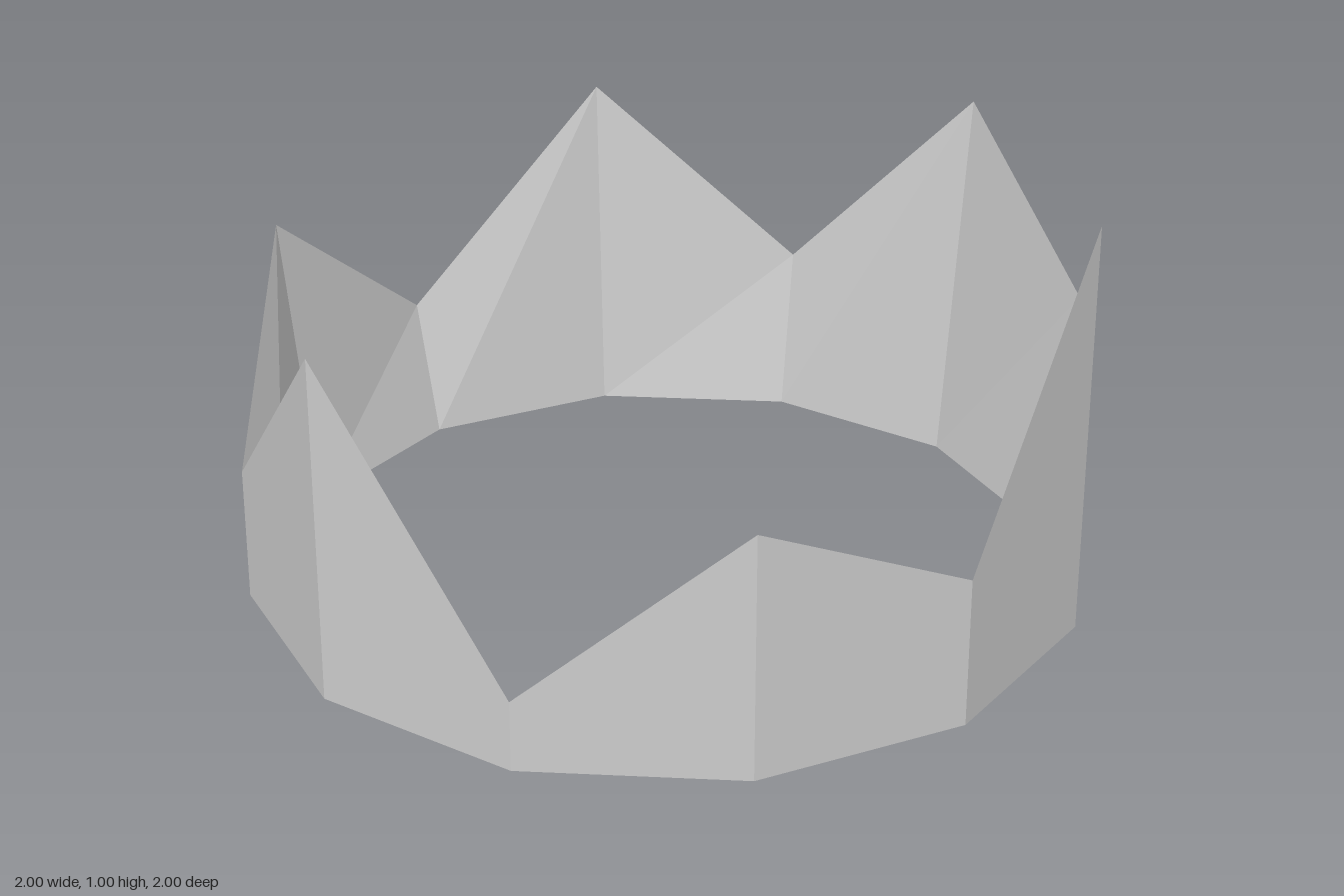
import * as THREE from 'three';

// Height of the rim at each of the twelve corners, from the front towards +x
const HEIGHTS = [0.59, 0.36, 1.0, 0.605, 0.93, 0.395, 0.85, 0.33, 0.73, 0.325, 0.83, 0.17];
const INNER_RADIUS = 0.92;

function corner(i, radius, y) {
  const a = (i / HEIGHTS.length) * Math.PI * 2;
  return [Math.sin(a) * radius, y, Math.cos(a) * radius];
}

// Band with a flat base, its wall tapering to a sharp zigzag rim
function crownBand() {
  const n = HEIGHTS.length;
  const positions = [];
  const quad = (a, b, c, d) => positions.push(...a, ...b, ...c, ...a, ...c, ...d);

  for (let i = 0; i < n; i++) {
    const j = (i + 1) % n;
    const outerA = corner(i, 1, 0), outerB = corner(j, 1, 0);
    const innerA = corner(i, INNER_RADIUS, 0), innerB = corner(j, INNER_RADIUS, 0);
    const rimA = corner(i, 1, HEIGHTS[i]), rimB = corner(j, 1, HEIGHTS[j]);
    quad(outerA, outerB, rimB, rimA); // outer wall
    quad(innerB, innerA, rimA, rimB); // sloping inner wall
    quad(outerA, innerA, innerB, outerB); // base
  }

  const geometry = new THREE.BufferGeometry();
  geometry.setAttribute('position', new THREE.Float32BufferAttribute(positions, 3));
  geometry.computeVertexNormals();
  return geometry;
}

export function createModel() {
  const group = new THREE.Group();
  group.name = 'crown';
  const material = new THREE.MeshStandardMaterial({ color: 0xcccccc, flatShading: true });
  const band = new THREE.Mesh(crownBand(), material);
  band.name = 'crownBand';
  group.add(band);
  return group;
}
